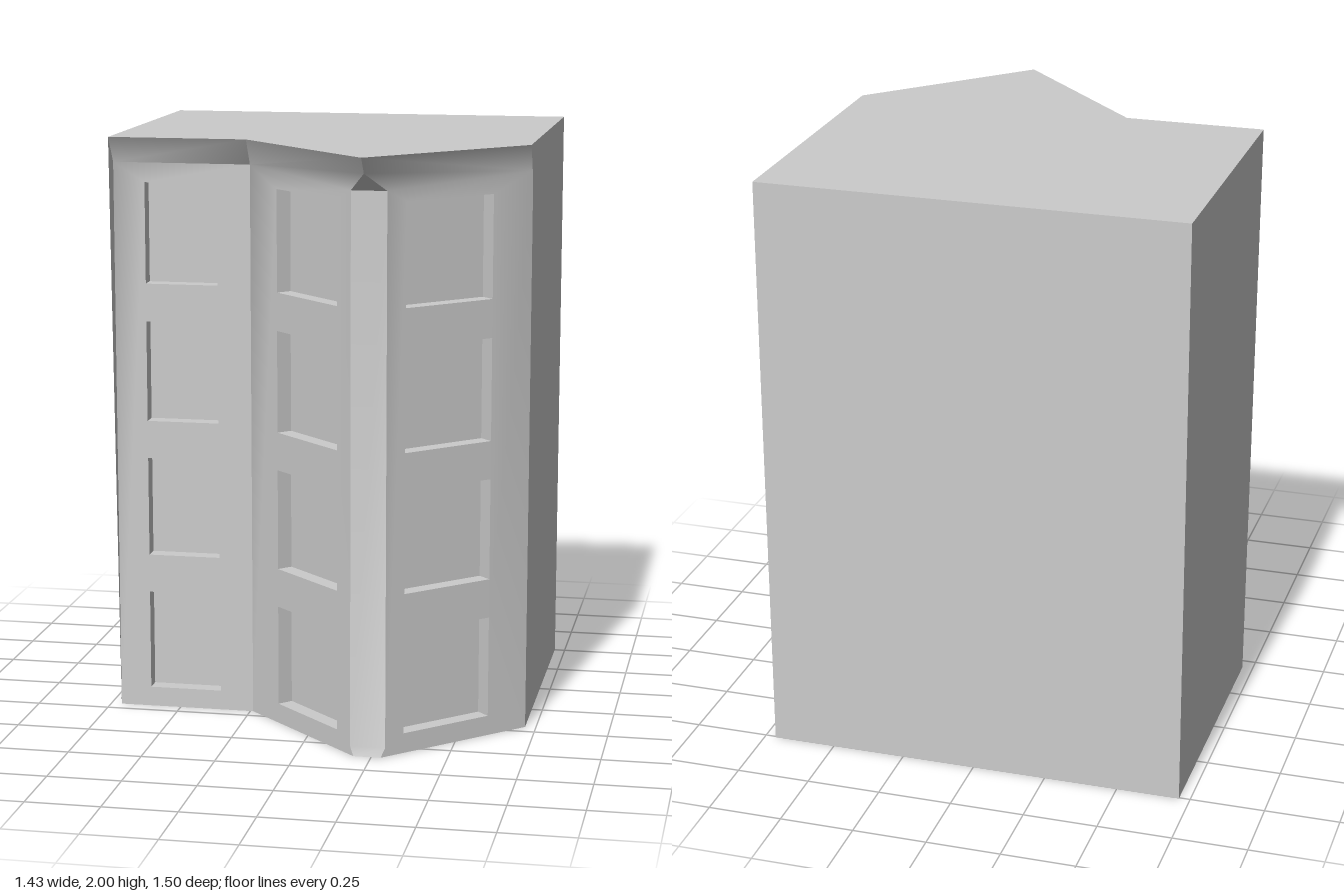
import * as THREE from 'three';
import { mergeGeometries, toCreasedNormals } from 'three/addons/utils/BufferGeometryUtils.js';

const H = 2, WALL_TOP = 1.91, DEPTH = 0.055;
const XS = 0.713, BACK = -0.755, WALL_Z = 0.2, EAVE_Z = 0.26;
const INNER = -0.24, TIP_X = 0.236, CHAMFER = 0.059, CHAMFER_Z = 0.603;
const CHAMFER_TOP = 1.88, FOOT = 0.03, FLARE = 0.013;
const STOREYS = [[0.068, 0.413], [0.546, 0.89], [1.02, 1.367], [1.497, 1.843]];

// Flat convex face, fanned from its first corner (counter-clockwise from outside)
function face(...pts) {
  const p = [];
  for (let i = 1; i < pts.length - 1; i++) p.push(...pts[0], ...pts[i], ...pts[i + 1]);
  const g = new THREE.BufferGeometry();
  g.setAttribute('position', new THREE.Float32BufferAttribute(p, 3));
  return g;
}

// Wall from a to b ([x, z], left to right from outside) with a column of recessed windows.
// outline is in wall coordinates (u, y); x0..x1 is the window span read along x.
function windowWall(a, b, x0, x1, outline) {
  const len = Math.hypot(b[0] - a[0], b[1] - a[1]);
  const ux = (b[0] - a[0]) / len, uz = (b[1] - a[1]) / len;
  const at = (u, y, w = 0) => [a[0] + ux * u - uz * w, y, a[1] + uz * u + ux * w];
  const u0 = (x0 - a[0]) / ux, u1 = (x1 - a[0]) / ux;
  const shape = new THREE.Shape(outline(len).map(p => new THREE.Vector2(...p)));
  const parts = [], d = -DEPTH;
  for (const [y0, y1] of STOREYS) {
    const c = [[u0, y0], [u1, y0], [u1, y1], [u0, y1]];
    shape.holes.push(new THREE.Path(c.map(p => new THREE.Vector2(...p))));
    parts.push(face(...c.map(p => at(...p, d))));
    c.forEach((p, i) => {
      const q = c[(i + 1) % 4];
      parts.push(face(at(...p), at(...q), at(...q, d), at(...p, d)));
    });
  }
  const sheet = new THREE.ShapeGeometry(shape).toNonIndexed();
  sheet.deleteAttribute('uv');
  sheet.deleteAttribute('normal');
  sheet.applyMatrix4(new THREE.Matrix4().makeBasis(
    new THREE.Vector3(ux, 0, uz), new THREE.Vector3(0, 1, 0), new THREE.Vector3(-uz, 0, ux)
  ).setPosition(a[0], 0, a[1]));
  return [sheet, ...parts];
}

export function createModel() {
  const group = new THREE.Group();
  const material = new THREE.MeshStandardMaterial({ color: 0xcccccc });
  const add = (name, parts) => {
    const mesh = new THREE.Mesh(toCreasedNormals(mergeGeometries(parts), 0.7), material);
    mesh.name = name;
    group.add(mesh);
  };

  const cl = TIP_X - CHAMFER, cr = TIP_X + CHAMFER;
  const footZ = CHAMFER_Z + FLARE;
  const flareU = FLARE * 1.4;
  const apex = [TIP_X, 1.945, 0.7], tip = [TIP_X, H, 0.75];
  const left = [cl, CHAMFER_TOP, CHAMFER_Z], right = [cr, CHAMFER_TOP, CHAMFER_Z];

  // Facade: three window walls, with the cornice blended into them
  add('facade', [
    ...windowWall([-XS, WALL_Z], [INNER, WALL_Z], -0.605, -0.355,
      l => [[0, 0], [l, 0], [l, WALL_TOP], [0, WALL_TOP]]),
    ...windowWall([INNER, WALL_Z], [cl, CHAMFER_Z], -0.126, 0.123,
      l => [[0, 0], [l + flareU, 0], [l, FOOT], [l, CHAMFER_TOP], [0, WALL_TOP]]),
    ...windowWall([cr, CHAMFER_Z], [XS, WALL_Z], 0.348, 0.598,
      l => [[-flareU, 0], [l, 0], [l, WALL_TOP], [0, CHAMFER_TOP], [0, FOOT]]),
    // cornice
    face([-XS, WALL_TOP, WALL_Z], [INNER, WALL_TOP, WALL_Z], [INNER, H, EAVE_Z], [-XS, H, EAVE_Z]),
    face([INNER, WALL_TOP, WALL_Z], left, apex, tip, [INNER, H, EAVE_Z]),
    face([XS, WALL_TOP, WALL_Z], [XS, H, EAVE_Z], tip, apex, right),
  ]);

  // Cut corner of the bay, flared at the foot and tucked under the cornice
  add('cutCorner', [
    face([cl, FOOT, CHAMFER_Z], [cr, FOOT, CHAMFER_Z], right, left),
    face([cl + FLARE, 0, footZ], [cr - FLARE, 0, footZ], [cr, FOOT, CHAMFER_Z], [cl, FOOT, CHAMFER_Z]),
    face(left, right, apex),
  ]);

  // Plain side and back walls
  const side = [[BACK, 0], [BACK, H], [EAVE_Z, H], [WALL_Z, WALL_TOP], [WALL_Z, 0]];
  add('plainWalls', [
    face(...side.map(([z, y]) => [XS, y, z])),
    face(...side.map(([z, y]) => [-XS, y, z]).reverse()),
    face([XS, 0, BACK], [-XS, 0, BACK], [-XS, H, BACK], [XS, H, BACK]),
  ]);

  // Roof and underside, fanned from the inner corner
  add('roof', [face([INNER, H, EAVE_Z], tip, [XS, H, EAVE_Z], [XS, H, BACK], [-XS, H, BACK], [-XS, H, EAVE_Z])]);
  add('underside', [face([INNER, 0, WALL_Z], [-XS, 0, WALL_Z], [-XS, 0, BACK], [XS, 0, BACK],
    [XS, 0, WALL_Z], [cr - FLARE, 0, footZ], [cl + FLARE, 0, footZ])]);
  return group;
}
